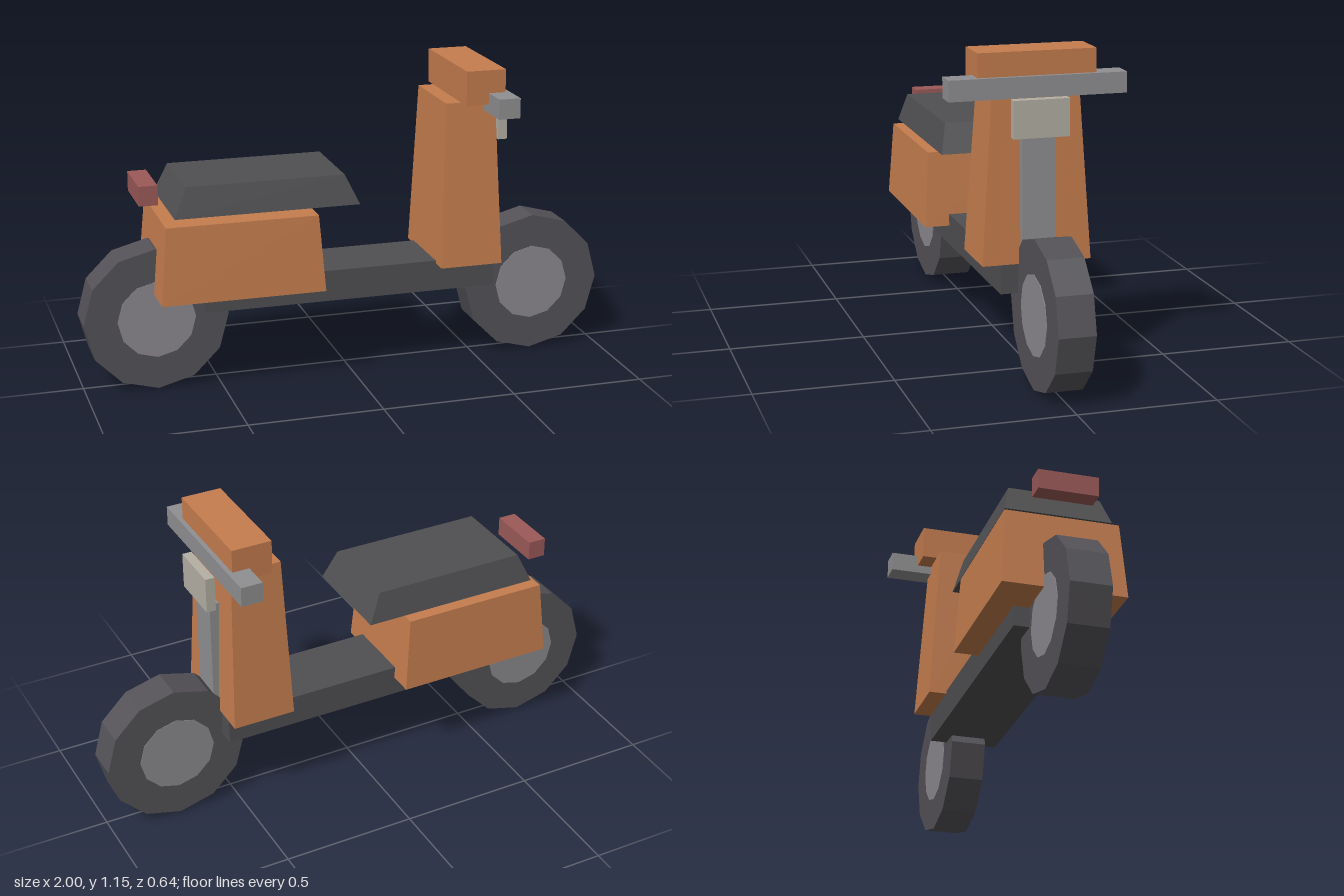
import * as THREE from 'three';

const paint = (color) => new THREE.MeshStandardMaterial({ color, flatShading: true });

export function createModel() {
  const scooter = new THREE.Group();
  scooter.name = 'scooter';

  const orange = paint(0xc57d4e);
  const dark = paint(0x505052);
  const tyreMat = paint(0x545257);
  const hubMat = paint(0x8c8a8f);
  const metal = paint(0x909092);
  const lens = paint(0xb4b0a4);
  const red = paint(0x9c5a58);

  const add = (name, geometry, material, parent = scooter) => {
    const mesh = new THREE.Mesh(geometry, material);
    mesh.name = name;
    parent.add(mesh);
    return mesh;
  };

  // Box between two heights; the top x range and half depth may differ to taper it
  const block = (name, material, y, x, halfZ, topX = x, topHalfZ = halfZ) => {
    const geometry = new THREE.BoxGeometry(1, 1, 1);
    const p = geometry.attributes.position;
    for (let i = 0; i < p.count; i++) {
      const top = p.getY(i) > 0;
      const range = top ? topX : x;
      const depth = top ? topHalfZ : halfZ;
      p.setXYZ(
        i,
        p.getX(i) > 0 ? range[1] : range[0],
        top ? y[1] : y[0],
        Math.sign(p.getZ(i)) * depth
      );
    }
    geometry.computeVertexNormals();
    return add(name, geometry, material);
  };

  // Twelve-sided wheel with a hub disc just proud of the tyre
  const wheel = (name, x, halfWidth) => {
    const group = new THREE.Group();
    group.name = name;
    const disc = (r, half) => new THREE.CylinderGeometry(r, r, half * 2, 12).rotateX(Math.PI / 2);
    add('tyre', disc(0.268, halfWidth), tyreMat, group);
    add('hub', disc(0.145, halfWidth + 0.002), hubMat, group);
    group.position.set(x, 0.268, 0);
    scooter.add(group);
  };
  wheel('frontWheel', 0.732, 0.066);
  wheel('rearWheel', -0.732, 0.073);

  // Floor, rear body and saddle
  block('footDeck', dark, [0.295, 0.412], [-0.567, 0.55], 0.13);
  block('rearBody', orange, [0.368, 0.653], [-0.74, -0.133], 0.223, [-0.715, -0.155], 0.206);
  block('seat', dark, [0.678, 0.787], [-0.68, 0.004], 0.194, [-0.632, -0.047], 0.167);
  block('tailLight', red, [0.712, 0.785], [-0.791, -0.722], 0.109);

  // Front shield and steering
  block('legShield', orange, [0.402, 1.02], [0.32, 0.557], 0.197, [0.342, 0.532], 0.157);
  block('steeringColumn', metal, [0.402, 0.855], [0.54, 0.576], 0.06);
  block('headlight', lens, [0.855, 0.988], [0.569, 0.604], 0.1);
  block('handlebar', metal, [0.988, 1.062], [0.486, 0.567], 0.318);
  block('handlebarCowl', orange, [1.02, 1.147], [0.4, 0.55], 0.212);

  return scooter;
}
